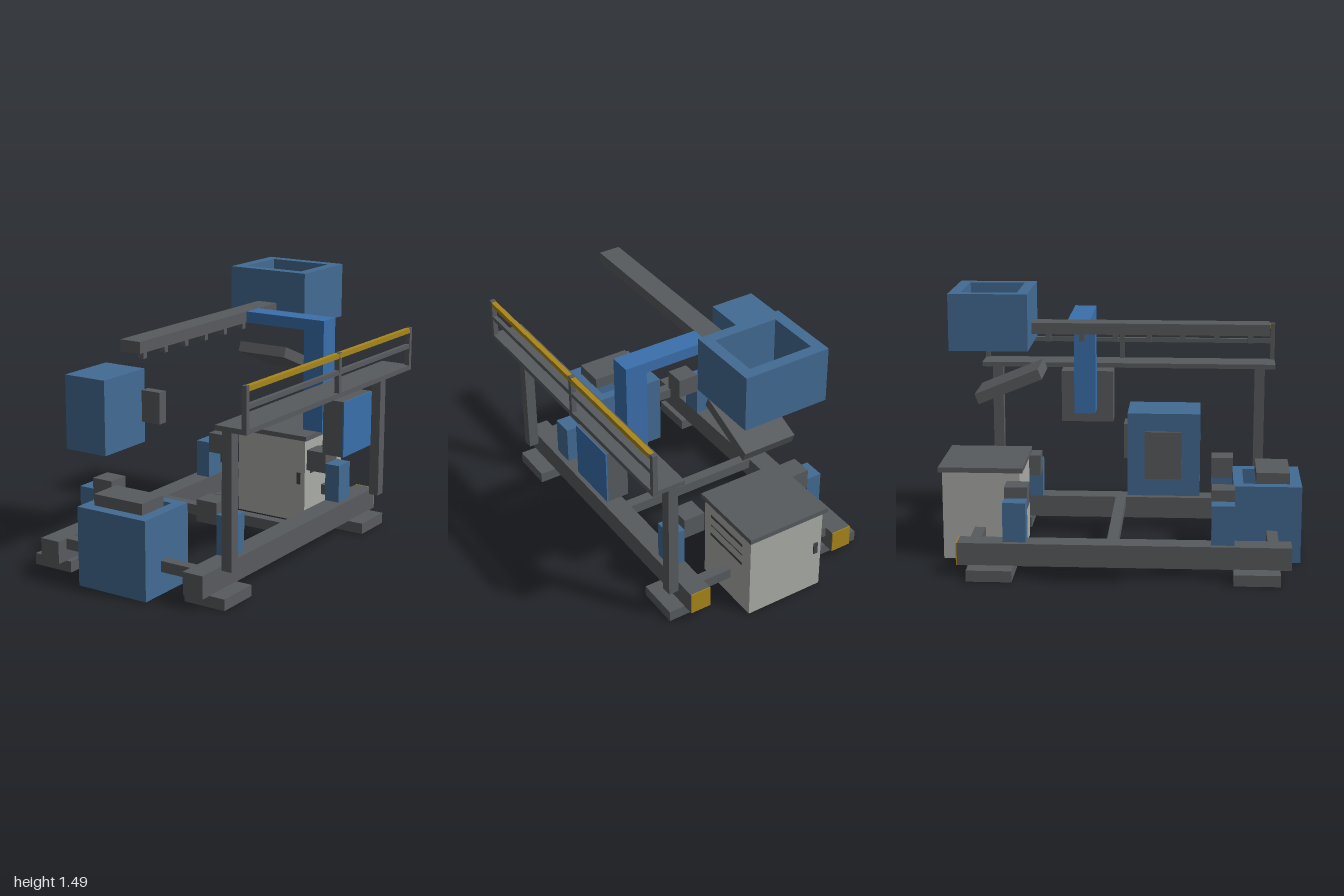
import * as THREE from 'three';

const mat = (name, color) => {
  const m = new THREE.MeshStandardMaterial({ color });
  m.name = name;
  return m;
};

export function createModel() {
  const root = new THREE.Group();
  root.name = 'processingRig';
  const steel = mat('steelGrey', 0x585b5e);
  const blue = mat('machineBlue', 0x436b94);
  const armBlue = mat('armBlue', 0x3a70ac);
  const yellow = mat('safetyYellow', 0xa8861a);
  const pale = mat('cabinetGrey', 0xaaaca7);
  const brown = mat('hopperFloor', 0x5f534a);
  const dark = mat('darkTrim', 0x414446);

  // Box given by its extents on each axis
  const box = (name, m, x0, x1, y0, y1, z0, z1) => {
    const mesh = new THREE.Mesh(new THREE.BoxGeometry(x1 - x0, y1 - y0, z1 - z0), m);
    mesh.position.set((x0 + x1) / 2, (y0 + y1) / 2, (z0 + z1) / 2);
    mesh.name = name;
    root.add(mesh);
    return mesh;
  };

  // Open rectangular bin: extruded frame with a hole, plus an inner floor
  const bin = (name, o, i, y0, y1, floorY) => {
    const rect = (P, [x0, x1, z0, z1]) => {
      const p = new P();
      p.moveTo(x0, -z1); p.lineTo(x1, -z1); p.lineTo(x1, -z0); p.lineTo(x0, -z0);
      p.closePath();
      return p;
    };
    const shape = rect(THREE.Shape, o);
    shape.holes.push(rect(THREE.Path, i));
    const geo = new THREE.ExtrudeGeometry(shape, { depth: y1 - y0, bevelEnabled: false });
    geo.rotateX(-Math.PI / 2);
    const mesh = new THREE.Mesh(geo, blue);
    mesh.position.y = y0;
    mesh.name = name;
    root.add(mesh);
    box(name + 'Floor', brown, i[0], i[1], floorY, floorY + 0.01, i[2], i[3]);
  };

  // Base frame: rails, feet, corner posts with drive blocks
  for (const s of [-1, 1]) {
    const side = (name, m, a, b, y0, y1, z0, z1) => {
      const c = 0.005;
      return box(name, m, s < 0 ? c - b : c + a, s < 0 ? c - a : c + b, y0, y1, z0, z1);
    };
    side('baseRail', steel, 0.405, 0.525, 0.06, 0.185, -0.86, 0.935);
    side('railEndPlate', yellow, 0.405, 0.525, 0.06, 0.185, -0.866, -0.86);
    for (const [z0, z1] of [[-0.8, -0.555], [0.625, 0.875]]) {
      side('foot', steel, 0.373, 0.618, 0, 0.062, z0, z1);
    }
    for (const [z0, z1] of [[-0.615, -0.49], [0.505, 0.63]]) {
      side('supportPost', blue, 0.405, 0.495, 0.185, 0.403, z0, z1);
      side('driveBlock', steel, 0.28, 0.405, 0.345, 0.465, z0, z1);
    }
  }
  for (const z of [-0.772, -0.028, 0.838]) {
    box('crossBar', steel, -0.4, 0.41, 0.125, 0.185, z - 0.03, z + 0.03);
  }

  // Front collecting bin with its cover
  bin('frontBin', [-0.21, 0.225, 0.625, 1], [-0.15, 0.16, 0.68, 0.935], 0, 0.435, 0.02);
  box('binCover', steel, -0.15, 0.16, 0.43, 0.497, 0.75, 0.935);

  // Rear cabinet with lid, door handles and side vents
  box('cabinet', pale, -0.225, 0.237, 0, 0.5, -0.98, -0.55);
  box('cabinetLid', steel, -0.243, 0.252, 0.5, 0.528, -1, -0.533);
  box('rearHandle', dark, -0.2, -0.175, 0.23, 0.3, -0.987, -0.98);
  box('frontHandle', dark, 0.185, 0.21, 0.23, 0.3, -0.55, -0.543);
  for (const [y, h] of [[0.42, 0.008], [0.358, 0.003], [0.296, 0.008]]) {
    box('vent', dark, 0.237, 0.24, y - h, y + h, -0.905, -0.61);
  }

  // Upper hopper and the tilted chute below it
  bin('hopper', [-0.243, 0.252, -0.922, -0.493], [-0.18, 0.19, -0.86, -0.555], 1.18, 1.49, 1.2);
  const chute = box('chute', steel, -0.15, 0.16, 0.935, 0.995, -0.804, -0.426);
  chute.rotation.x = -0.39;

  // Overhead beam with nozzles
  box('overheadBeam', steel, -0.057, 0.067, 1.243, 1.305, -0.495, 0.812);
  for (let i = 0; i < 7; i++) {
    const z = 0.708 - i * 0.1857;
    box('nozzle', steel, -0.012, 0.022, 1.195, 1.243, z - 0.015, z + 0.015);
  }

  // Bent arm carrying the beam, with control box
  box('armHorizontal', armBlue, 0.067, 0.44, 1.243, 1.305, -0.302, -0.178);
  box('armVertical', armBlue, 0.44, 0.563, 0.683, 1.305, -0.302, -0.178);
  box('controlBox', steel, 0.622, 0.742, 0.592, 0.9, -0.393, -0.085);
  box('controlBoxPanel', armBlue, 0.742, 0.75, 0.592, 0.9, -0.393, -0.085);

  // Walkway with legs and guard rail
  box('walkway', steel, 0.565, 0.75, 0.934, 0.961, -0.858, 0.875);
  for (const z of [-0.766, 0.783]) {
    box('walkwayLeg', steel, 0.565, 0.623, 0.185, 0.934, z - 0.03, z + 0.03);
  }
  for (const z of [-0.845, -0.037, 0.862]) {
    box('guardPost', steel, 0.722, 0.75, 0.961, 1.18, z - 0.013, z + 0.013);
  }
  box('guardMidRail', steel, 0.724, 0.748, 1.06, 1.085, -0.835, 0.85);
  box('guardTopRail', yellow, 0.722, 0.75, 1.15, 1.177, -0.832, 0.849);

  // Side motor housing with door and coupling block
  box('motorHousing', blue, -0.737, -0.462, 0.53, 0.961, 0.07, 0.44);
  box('housingDoor', steel, -0.752, -0.737, 0.622, 0.868, 0.158, 0.345);
  box('couplingBlock', steel, -0.462, -0.337, 0.655, 0.84, 0.037, 0.098);

  return root;
}
